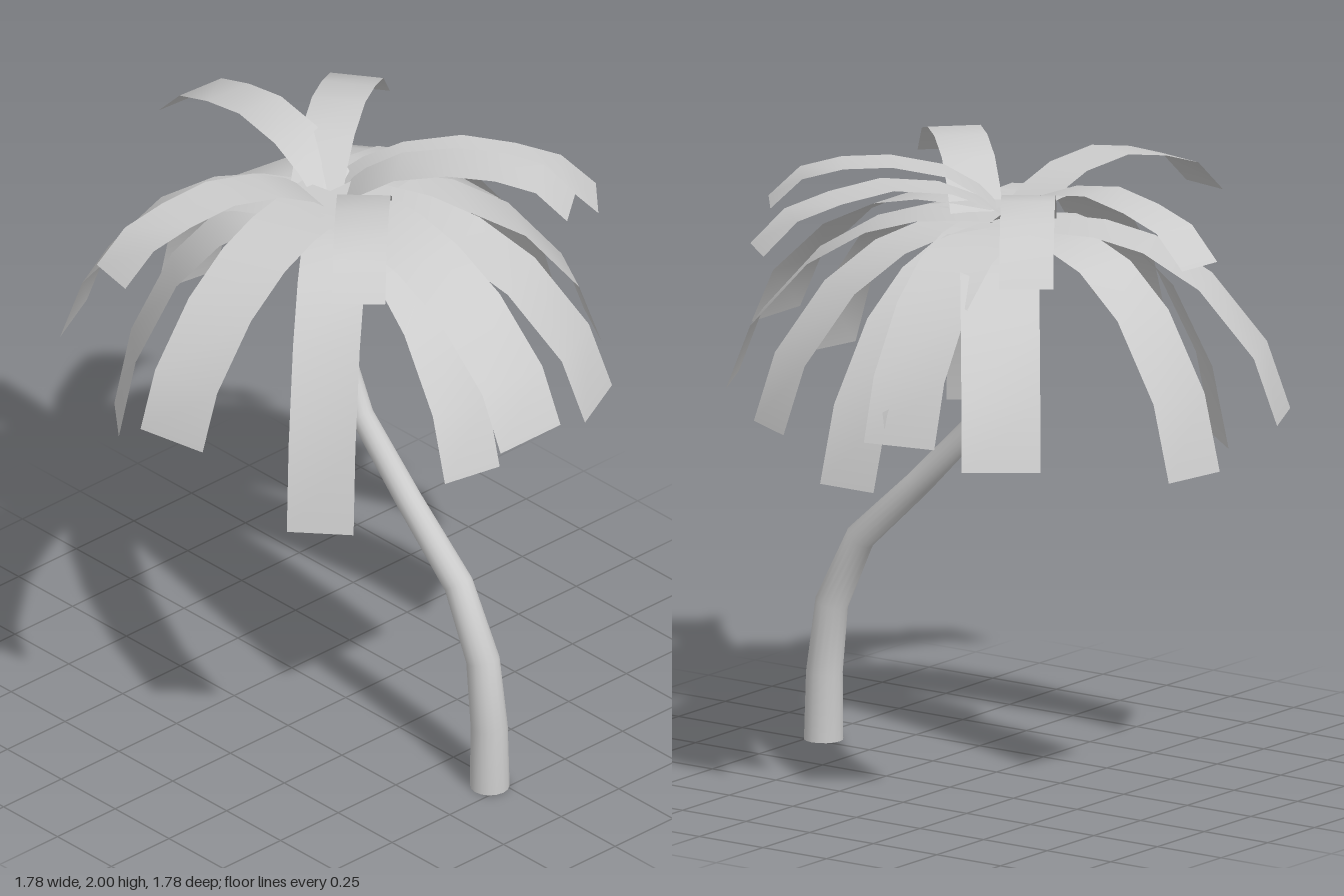
import * as THREE from 'three';

const material = new THREE.MeshStandardMaterial({ color: 0xcccccc, side: THREE.DoubleSide });
const HUB = [-0.05, 0.02]; // x, z of the crown centre

// Grid of points (rows x cols) joined into a smooth surface
function surface(rows, closed) {
  const cols = rows[0].length, idx = [];
  for (let r = 0; r < rows.length - 1; r++) {
    for (let c = 0; c < (closed ? cols : cols - 1); c++) {
      const a = r * cols + c, b = r * cols + (c + 1) % cols;
      idx.push(a, a + cols, b, b, a + cols, b + cols);
    }
  }
  const g = new THREE.BufferGeometry();
  g.setAttribute('position', new THREE.Float32BufferAttribute(rows.flat(2), 3));
  g.setIndex(idx);
  g.computeVertexNormals();
  return g;
}

function addMesh(parent, name, geometry) {
  const mesh = new THREE.Mesh(geometry, material);
  mesh.name = name;
  parent.add(mesh);
}

// Tapered open trunk following a bent path in the xy plane: [x, y, radius]
function trunkGeometry() {
  const path = [[0.705, 0, 0.063], [0.702, 0.22, 0.059], [0.673, 0.45, 0.054], [0.56, 0.68, 0.048],
    [0.33, 0.89, 0.043], [0.11, 1.11, 0.039], [0, 1.36, 0.034], [-0.055, 1.65, 0.028], [-0.08, 1.81, 0.024]];
  const sides = 16;
  return surface(path.map(([x, y, r], i) => {
    const p = path[Math.max(i - 1, 0)], q = path[Math.min(i + 1, path.length - 1)];
    const len = Math.hypot(q[0] - p[0], q[1] - p[1]);
    const tx = i === 0 ? 0 : (q[0] - p[0]) / len, ty = i === 0 ? 1 : (q[1] - p[1]) / len;
    return Array.from({ length: sides }, (_, k) => {
      const a = k / sides * Math.PI * 2, c = r * Math.cos(a);
      return [x + ty * c, y - tx * c, 0.034 + r * Math.sin(a)];
    });
  }), true);
}

// Straight ribbon frond running from the hub to the tip edge (x1,z1)-(x2,z2);
// profile gives [fraction of reach, height]
function frondGeometry([x1, z1, x2, z2], profile) {
  const tx = (x1 + x2) / 2, tz = (z1 + z2) / 2;
  let hx = (x2 - x1) / 2, hz = (z2 - z1) / 2;
  const h = Math.hypot(hx, hz);
  let dx = hz / h, dz = -hx / h;
  let reach = (tx - HUB[0]) * dx + (tz - HUB[1]) * dz;
  if (reach < 0) {
    dx = -dx; dz = -dz; reach = -reach;
    hx = -hx; hz = -hz;
  }
  return surface(profile.map(([t, y]) => {
    const x = tx - dx * reach * (1 - t), z = tz - dz * reach * (1 - t);
    return [[x + hx, y, z + hz], [x - hx, y, z - hz]];
  }), false);
}

// Drooping fronds: level near the hub, falling ever more steeply to the tip
const DROOP = [[0, 0], [0.15, 0], [0.31, 0.015], [0.49, 0.09], [0.7, 0.28], [0.91, 0.64], [1, 1]];
// Arched fronds: rise from the hub, then bend down
const ARCH = [[0, 1.81], [0.13, 1.89], [0.28, 1.945], [0.5, 1.97], [0.7, 1.94], [0.87, 1.895], [1, 1.79]];

// Steeper fronds bulge outward a little more
const droopProfile = (top, low) => DROOP.map(([t, f]) =>
  [t + 0.15 * (top - low - 0.5) * Math.sin(Math.PI * t), top - (top - low) * f]);
const archProfile = lift => ARCH.map(([t, y]) => [t, Math.min(y + lift * t, 2)]);

// [tip edge x1, z1, x2, z2], top height, tip height
const drooping = [
  [[0.89, -0.1, 0.89, 0.16], 1.86, 1.36],
  [[0, 0.89, 0.24, 0.845], 1.86, 1.36],
  [[0.8, 0.08, 0.76, 0.28], 1.83, 1.24],
  [[0.69, -0.51, 0.8, -0.29], 1.83, 1.25],
  [[0.25, -0.8, 0.44, -0.7], 1.82, 1.22],
  [[-0.17, -0.89, 0.04, -0.89], 1.79, 1.11],
  [[-0.35, -0.81, -0.11, -0.86], 1.82, 1.26],
  [[-0.48, -0.84, -0.68, -0.69], 1.79, 1.21],
  [[-0.85, -0.235, -0.885, -0.01], 1.79, 1.11],
  [[-0.89, 0.29, -0.78, 0.51], 1.8, 1.2],
  [[-0.56, 0.48, -0.4, 0.61], 1.8, 1.04],
  [[0.39, 0.62, 0.55, 0.48], 1.83, 1.04],
];

// [tip edge x1, z1, x2, z2], extra lift at the tip
const arched = [
  [[0.5, -0.53, 0.61, -0.39], 0.08],
  [[0.38, -0.73, 0.52, -0.61], -0.02],
  [[-0.48, -0.64, -0.62, -0.54], -0.02],
  [[-0.855, -0.17, -0.868, 0], 0],
  [[-0.31, 0.79, -0.14, 0.825], 0],
  [[0.59, 0.38, 0.47, 0.5], 0.08],
];

export function createModel() {
  const tree = new THREE.Group();
  tree.name = 'palmTree';
  addMesh(tree, 'trunk', trunkGeometry());

  const crown = new THREE.Group();
  crown.name = 'crown';
  tree.add(crown);
  drooping.forEach(([tip, top, low], i) =>
    addMesh(crown, `droopingFrond${i + 1}`, frondGeometry(tip, droopProfile(top, low))));
  arched.forEach(([tip, lift], i) =>
    addMesh(crown, `archedFrond${i + 1}`, frondGeometry(tip, archProfile(lift))));

  return tree;
}
